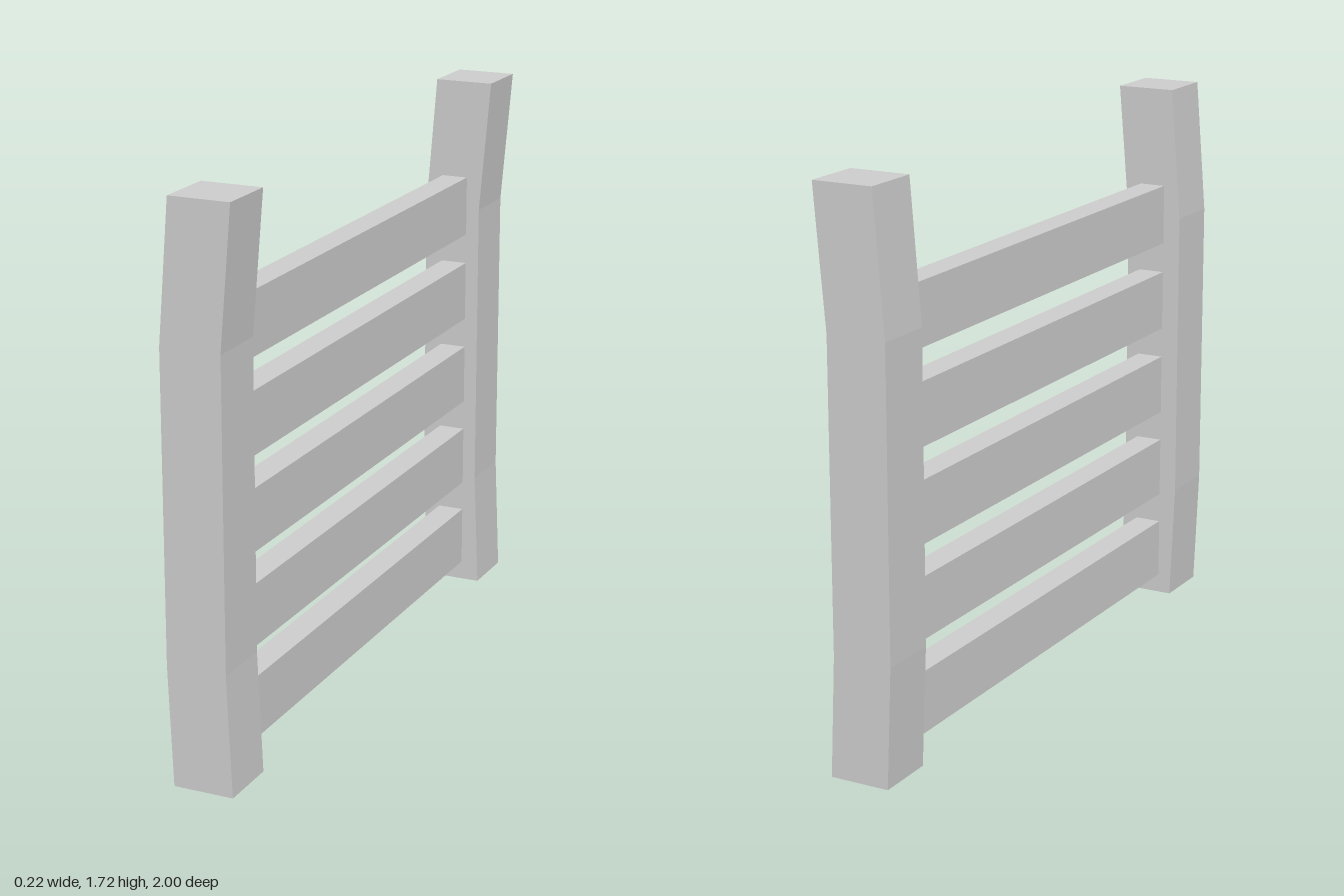
import * as THREE from 'three';

const material = new THREE.MeshStandardMaterial({ color: 0xcccccc, flatShading: true, side: THREE.DoubleSide });

// Bent post outline: [height, right edge x, left edge x]
const LEVELS = [
  [0, -0.097, 0.09],
  [0.37, -0.112, 0.074],
  [1.3, -0.112, 0.074],
  [1.72, -0.078, 0.11],
];
const POST_DEPTH = 0.19;

// Square tube lofted through the levels, capped on top and open underneath
function postGeometry() {
  const h = POST_DEPTH / 2;
  const rings = LEVELS.map(([y, x0, x1]) => [[x0, y, h], [x1, y, h], [x1, y, -h], [x0, y, -h]]);
  const positions = [];
  const quad = (a, b, c, d) => positions.push(...a, ...b, ...c, ...a, ...c, ...d);
  for (let i = 0; i < rings.length - 1; i++) {
    for (let j = 0; j < 4; j++) {
      const k = (j + 1) % 4;
      quad(rings[i][j], rings[i][k], rings[i + 1][k], rings[i + 1][j]);
    }
  }
  quad(...rings[rings.length - 1]);
  const geometry = new THREE.BufferGeometry();
  geometry.setAttribute('position', new THREE.Float32BufferAttribute(positions, 3));
  geometry.computeVertexNormals();
  return geometry;
}

export function createModel() {
  const model = new THREE.Group();
  model.name = 'slattedPanel';

  // Posts at both ends
  const post = postGeometry();
  for (const side of [1, -1]) {
    const mesh = new THREE.Mesh(post, material);
    mesh.name = side > 0 ? 'frontPost' : 'backPost';
    mesh.position.z = side * (1 - POST_DEPTH / 2);
    model.add(mesh);
  }

  // Five evenly spaced slats, let slightly into the posts
  const slat = new THREE.BoxGeometry(0.085, 0.191, 1.68);
  for (let i = 0; i < 5; i++) {
    const mesh = new THREE.Mesh(slat, material);
    mesh.name = `slat${i + 1}`;
    mesh.position.set(-0.012, 0.157 + i * 0.288, 0);
    model.add(mesh);
  }
  return model;
}
